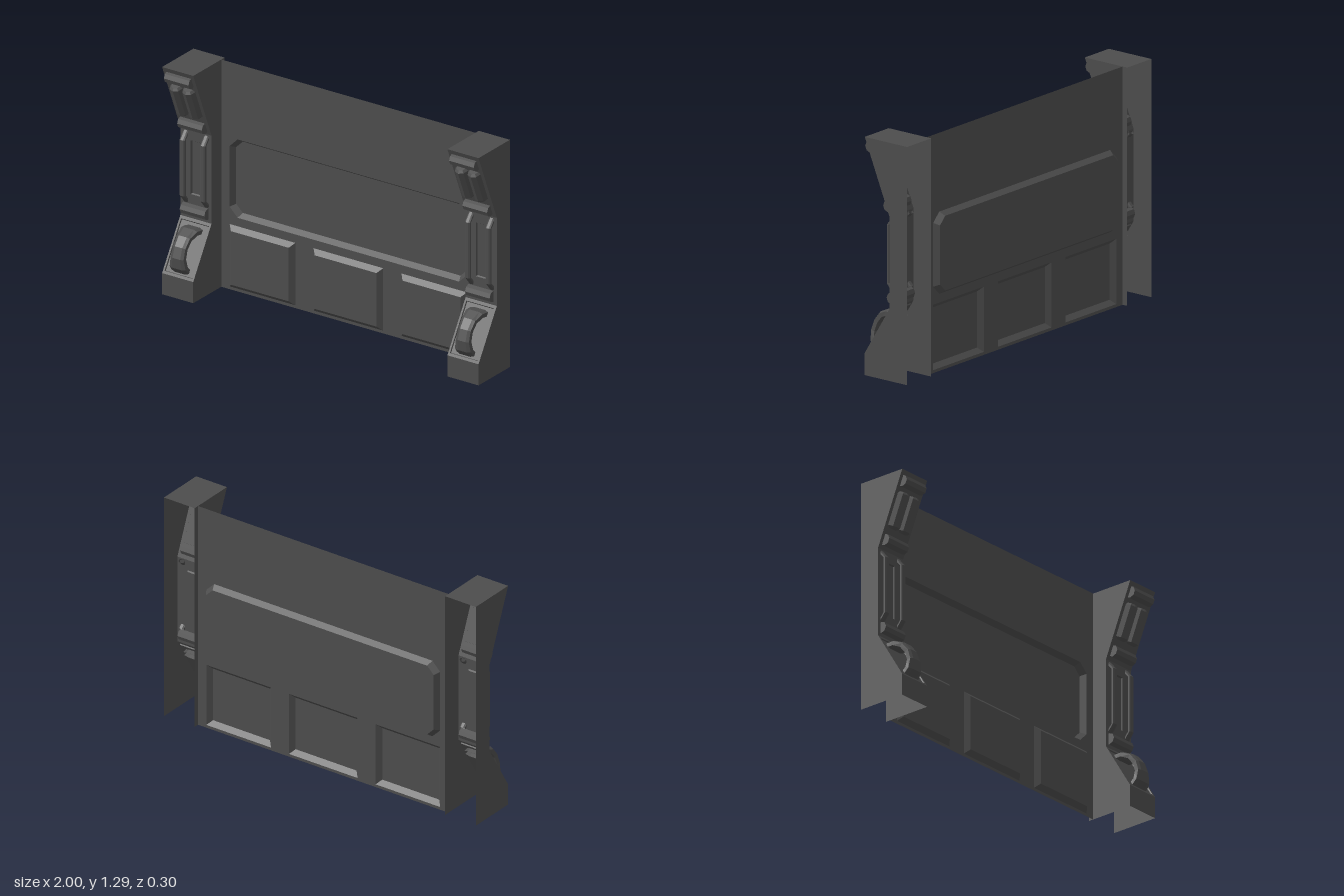
import * as THREE from 'three';

const material = new THREE.MeshStandardMaterial({ color: 0x4d4d4d, flatShading: true, side: THREE.DoubleSide });

function add(parent, name, geometry, x = 0, y = 0, z = 0) {
  const mesh = new THREE.Mesh(geometry, material);
  mesh.name = name;
  mesh.position.set(x, y, z);
  parent.add(mesh);
  return mesh;
}

// Rectangle outline, with cut corners when c > 0
function outline(x0, x1, y0, y1, c = 0) {
  const p = c
    ? [[x0 + c, y0], [x1 - c, y0], [x1, y0 + c], [x1, y1 - c], [x1 - c, y1], [x0 + c, y1], [x0, y1 - c], [x0, y0 + c]]
    : [[x0, y0], [x1, y0], [x1, y1], [x0, y1]];
  return p.map(([x, y]) => new THREE.Vector2(x, y));
}

// Thin plate with bevelled panels pressed forwards (depth > 0) or backwards
function pressedPlate(name, x0, x1, y0, y1, panels) {
  const group = new THREE.Group();
  group.name = name;
  const plate = new THREE.Shape(outline(x0, x1, y0, y1));
  for (const { box: [a, b, c, d], cut = 0, bevel, depth, label } of panels) {
    const outer = outline(a, b, c, d, cut);
    const inner = outline(a + bevel, b - bevel, c + bevel, d - bevel, cut && cut - bevel * 0.4);
    plate.holes.push(new THREE.Path(outer));
    add(group, label, new THREE.ShapeGeometry(new THREE.Shape(inner)), 0, 0, depth);
    const pos = [], index = [], n = outer.length;
    for (let i = 0; i < n; i++) {
      pos.push(outer[i].x, outer[i].y, 0, inner[i].x, inner[i].y, depth);
      const p = 2 * i, q = 2 * ((i + 1) % n);
      index.push(p, q, q + 1, p, q + 1, p + 1);
    }
    const rim = new THREE.BufferGeometry();
    rim.setAttribute('position', new THREE.Float32BufferAttribute(pos, 3));
    rim.setIndex(index);
    rim.computeVertexNormals();
    add(group, label + 'Bevel', rim);
  }
  add(group, name + 'Sheet', new THREE.ShapeGeometry(plate));
  return group;
}

// Sweep a chamfered rectangle along [z, y, halfWidth] stations
function sweptBar(stations, halfThickness, chamfer) {
  const c = 1 - chamfer;
  const section = [[1, -c], [1, c], [c, 1], [-c, 1], [-1, c], [-1, -c], [-c, -1], [c, -1]];
  const pos = [], index = [];
  stations.forEach(([z, y, w], i) => {
    const a = stations[Math.max(i - 1, 0)], b = stations[Math.min(i + 1, stations.length - 1)];
    const t = new THREE.Vector2(b[0] - a[0], b[1] - a[1]).normalize();
    for (const [u, v] of section) pos.push(u * w, y - t.x * v * halfThickness, z + t.y * v * halfThickness);
    if (i === 0) return;
    for (let k = 0; k < 8; k++) {
      const p = (i - 1) * 8 + k, q = (i - 1) * 8 + ((k + 1) % 8);
      index.push(p, q, q + 8, p, q + 8, p + 8);
    }
  });
  const g = new THREE.BufferGeometry();
  g.setAttribute('position', new THREE.Float32BufferAttribute(pos, 3));
  g.setIndex(index);
  g.computeVertexNormals();
  return g;
}

// Side outline of a column as [z, y], front edge from bottom to top
const front = [[0.135, 0], [0.135, 0.12], [-0.03, 0.39], [-0.03, 0.89], [0.135, 1.29]];
const BACK = -0.148, HALF = 0.0985;

function createColumn(name) {
  const column = new THREE.Group();
  column.name = name;

  // Side sheets and top; the back and the underside are open
  const side = new THREE.ShapeGeometry(new THREE.Shape(
    [[BACK, 0], ...front, [BACK, 1.29]].map(([z, y]) => new THREE.Vector2(z, y))));
  side.rotateY(-Math.PI / 2);
  for (const s of [-1, 1]) add(column, 'columnSide', side, s * HALF);
  const top = new THREE.PlaneGeometry(2 * HALF, 0.135 - BACK).rotateX(-Math.PI / 2);
  add(column, 'columnTop', top, 0, 1.29, (0.135 + BACK) / 2);

  // Front faces following the profile, some with a shallow inset
  const insets = [
    [],
    [{ box: [-0.088, 0.088, 0.015, 0.3], bevel: 0.003, depth: -0.006, label: 'slopeInset' }],
    [{ box: [-0.033, 0.033, 0.135, 0.44], bevel: 0.005, depth: -0.008, label: 'middleInset' }],
    [],
  ];
  insets.forEach((panels, i) => {
    const [z0, y0] = front[i], [z1, y1] = front[i + 1];
    const face = pressedPlate('columnFront', -HALF, HALF, 0, Math.hypot(z1 - z0, y1 - y0), panels);
    face.position.set(0, y0, z0);
    face.rotation.x = Math.atan2(z1 - z0, y1 - y0);
    column.add(face);
  });

  // Horizontal rolls
  const roll = new THREE.CylinderGeometry(0.032, 0.032, 0.156, 8).rotateZ(Math.PI / 2);
  for (const [y, z] of [[1.235, 0.117], [0.935, -0.003], [0.44, -0.026]]) add(column, 'roll', roll, 0, y, z);

  // Pair of half-round ribs on the upper slope
  const rib = new THREE.LatheGeometry(
    [[0, -0.1], [0.026, -0.1], [0.038, -0.088], [0.038, 0.088], [0.026, 0.1], [0, 0.1]]
      .map(([x, y]) => new THREE.Vector2(x, y)), 4, -Math.PI / 2, Math.PI);
  for (const s of [-1, 1]) {
    add(column, 'rib', rib, s * 0.04, 1.094, 0.054).rotation.x = Math.atan2(0.165, 0.4);
  }

  // Upright rails on the middle face
  const rail = sweptBar([[-0.04, 0.878, 0.016], [-0.003, 0.834, 0.016], [-0.003, 0.52, 0.016], [-0.04, 0.476, 0.016]], 0.01, 0.5);
  for (const s of [-1, 1]) add(column, 'rail', rail, s * 0.065);

  // Arched handle on the lower slope, flared at both ends
  add(column, 'archedHandle', sweptBar([
    [-0.03, 0.33, 0.057], [-0.005, 0.34, 0.056], [0.03, 0.343, 0.052], [0.077, 0.322, 0.042], [0.111, 0.28, 0.039],
    [0.129, 0.228, 0.041], [0.125, 0.178, 0.05], [0.1, 0.148, 0.056], [0.08, 0.135, 0.057],
  ], 0.019, 0.4));
  return column;
}

export function createModel() {
  const model = new THREE.Group();
  model.name = 'wallSection';

  // Wall sheet with a recessed long panel and three raised lower panels
  const lower = [[-0.75, -0.335], [-0.22, 0.22], [0.335, 0.75]].map(([a, b]) => (
    { box: [a, b, 0.016, 0.37], bevel: 0.025, depth: 0.025, label: 'lowerPanel' }));
  const wall = pressedPlate('wall', -0.803, 0.803, 0, 1.29, [
    { box: [-0.75, 0.75, 0.418, 0.863], cut: 0.05, bevel: 0.02, depth: -0.03, label: 'longPanel' }, ...lower]);
  wall.position.z = -0.118;
  model.add(wall);

  // Columns at both ends
  for (const [name, s] of [['leftColumn', 1], ['rightColumn', -1]]) {
    const column = createColumn(name);
    column.position.x = s * (1 - HALF);
    model.add(column);
  }
  return model;
}
